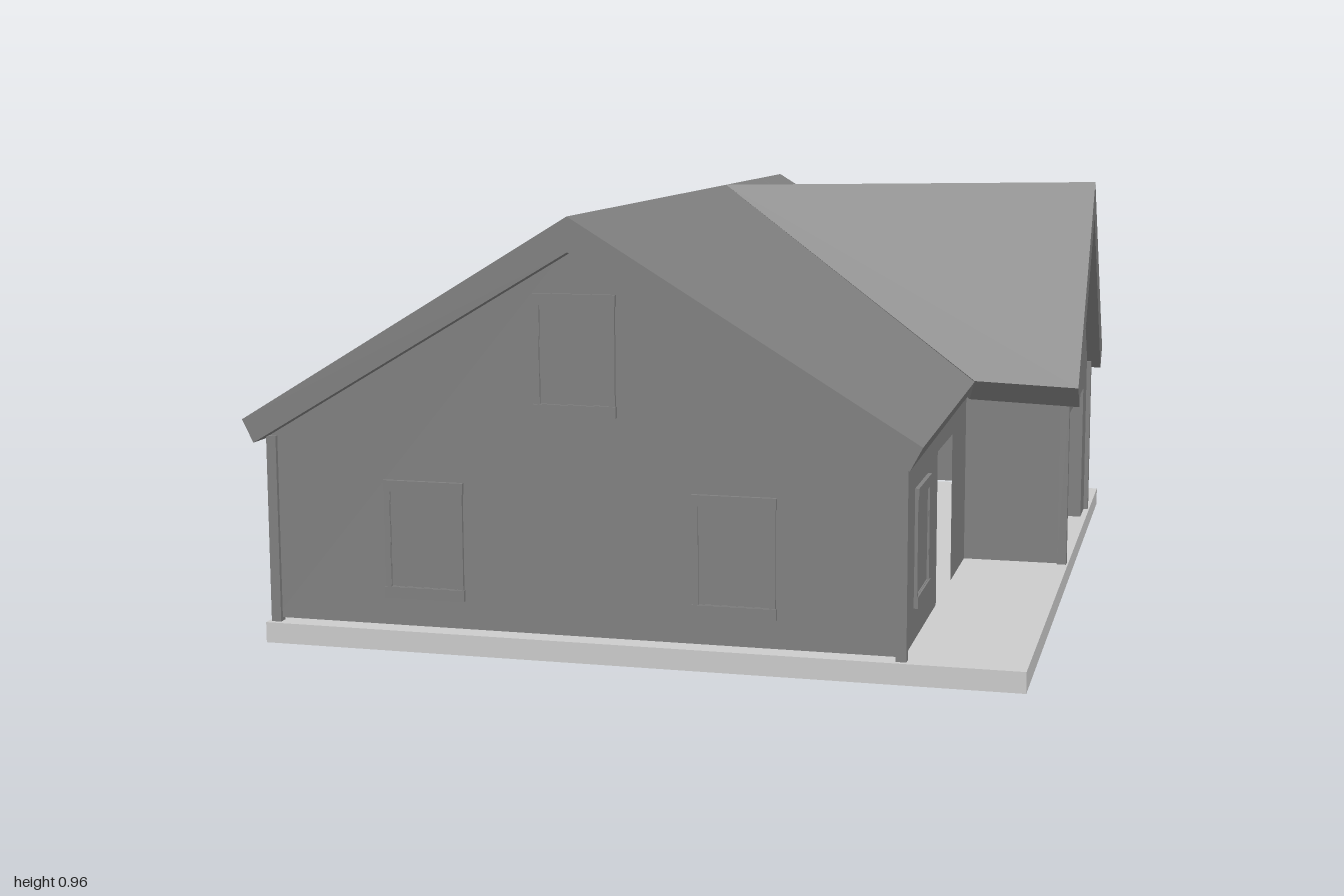
import * as THREE from 'three';

const pale = new THREE.MeshStandardMaterial({ color: 0xcccccc, flatShading: true });
const solid = new THREE.MeshStandardMaterial({ color: 0x808080, flatShading: true });
const thin = new THREE.MeshStandardMaterial({ color: 0x808080, flatShading: true, side: THREE.DoubleSide });

const BASE = 0.045, EAVE = 0.455, RIDGE_X = -0.115, GABLE_Z = -0.34;

function add(parent, name, geometry, material, x = 0, y = 0, z = 0) {
  const mesh = new THREE.Mesh(geometry, material);
  mesh.name = name;
  mesh.position.set(x, y, z);
  parent.add(mesh);
  return mesh;
}

function box(parent, name, w, h, d, x, y, z, material = solid) {
  return add(parent, name, new THREE.BoxGeometry(w, h, d), material, x, y, z);
}

const outline = (pts) => new THREE.Shape(pts.map(([a, b]) => new THREE.Vector2(a, b)));

// Flat wall drawn in x,y and placed at a given z
function wallAcross(parent, name, pts, z) {
  return add(parent, name, new THREE.ShapeGeometry(outline(pts)), thin, 0, 0, z);
}

// Flat wall drawn in z,y and placed at a given x
function wallAlong(parent, name, pts, x) {
  const mesh = add(parent, name, new THREE.ShapeGeometry(outline(pts)), thin, x);
  mesh.rotation.y = -Math.PI / 2;
  return mesh;
}

const rect = (a0, a1, y0 = BASE, y1 = EAVE) => [[a0, y0], [a1, y0], [a1, y1], [a0, y1]];

// Rectangular frame with an opening
function frameGeometry(w, h, border, depth) {
  const shape = outline(rect(-w / 2, w / 2, -h / 2, h / 2));
  shape.holes.push(outline(rect(border - w / 2, w / 2 - border, border - h / 2, h / 2 - border)));
  return new THREE.ExtrudeGeometry(shape, { depth, bevelEnabled: false });
}

// Sash window facing +z, turned to its wall
function addWindow(parent, name, x, y, z, turn) {
  const g = new THREE.Group();
  g.name = name;
  box(g, 'headTrim', 0.18, 0.024, 0.01, 0, 0.116, 0.004);
  box(g, 'sill', 0.18, 0.024, 0.01, 0, -0.116, 0.004);
  for (const s of [-1, 1]) box(g, 'sideTrim', 0.012, 0.208, 0.008, s * 0.082, 0, 0.003);
  add(g, 'sashFrame', frameGeometry(0.164, 0.22, 0.007, 0.005), solid);
  box(g, 'upperPane', 0.152, 0.104, 0.003, 0, 0.052, 0.001);
  box(g, 'lowerPane', 0.152, 0.104, 0.003, 0, -0.052, 0.0005);
  g.position.set(x, y, z);
  g.rotation.y = turn;
  parent.add(g);
}

// Roof lofted through chevron sections: eave, ridge, eave, then back along the underside
function roofGeometry(sections) {
  const verts = [];
  const quad = (a, b, c, d) => verts.push(...a, ...b, ...c, ...a, ...c, ...d);
  for (let k = 0; k < sections.length - 1; k++) {
    const p = sections[k], q = sections[k + 1];
    for (let i = 0; i < 6; i++) {
      const j = (i + 1) % 6;
      quad(p[i], p[j], q[j], q[i]);
    }
  }
  const first = sections[0], last = sections[sections.length - 1];
  quad(first[0], first[5], first[4], first[1]);
  quad(first[1], first[4], first[3], first[2]);
  quad(last[1], last[4], last[5], last[0]);
  quad(last[2], last[3], last[4], last[1]);
  const geo = new THREE.BufferGeometry();
  geo.setAttribute('position', new THREE.Float32BufferAttribute(verts, 3));
  geo.computeVertexNormals();
  return geo;
}

const mainSection = (z, eaveX) => [
  [-0.85, 0.495, z], [RIDGE_X, 0.94, z], [eaveX, 0.494, z],
  [eaveX - 0.026, 0.445, z], [RIDGE_X, 0.867, z], [-0.825, 0.445, z]
];

const crossSection = (ridgeX, ridge, under, x, xIn, eave, eaveUnder, z0, z1) => [
  [x, eave, z0], [ridgeX, ridge, GABLE_Z], [x, eave, z1],
  [xIn, eaveUnder, -0.7], [ridgeX, under, GABLE_Z], [xIn, eaveUnder, 0.02]
];

export function createModel() {
  const house = new THREE.Group();
  house.name = 'house';

  // Ground slab
  box(house, 'slab', 1.65, BASE, 1.955, 0.005, BASE / 2, 0, pale);

  // Gable end walls, just clear of the slab and running up into the roof
  const gableEnd = [[-0.805, 0.053], [0.575, 0.053], [0.575, 0.475], [RIDGE_X, 0.89], [-0.805, 0.475]];
  wallAcross(house, 'frontWall', gableEnd, 0.957);
  wallAcross(house, 'backWall', gableEnd, -0.957);

  // Long walls, with the entrance cut out beside the garage
  wallAlong(house, 'rightHandLongWall', rect(-0.957, 0.957), -0.805);
  wallAlong(house, 'entranceWall', [
    [0.005, BASE], [0.245, BASE], [0.245, 0.395], [0.482, 0.395],
    [0.482, BASE], [0.957, BASE], [0.957, EAVE], [0.005, EAVE]
  ], 0.575);
  wallAlong(house, 'rearEntranceWall', rect(-0.957, -0.685), 0.575);

  // Garage walls and gable with the wide opening
  wallAlong(house, 'garageGableWall', [
    [-0.685, BASE], [-0.567, BASE], [-0.567, 0.395], [-0.108, 0.395],
    [-0.108, BASE], [0.005, BASE], [0.005, 0.475], [GABLE_Z, 0.89], [-0.685, 0.475]
  ], 0.815);
  for (const z of [0.005, -0.685]) {
    wallAcross(house, 'garageSideWall', rect(0.575, 0.815), z);
  }

  // Reveal lining the garage opening
  for (const z of [-0.108, -0.567]) {
    wallAcross(house, 'garageJamb', rect(0.655, 0.815, BASE, 0.395), z);
  }
  const head = add(house, 'garageHead', new THREE.PlaneGeometry(0.16, 0.459), thin, 0.735, 0.395, -0.3375);
  head.rotation.x = Math.PI / 2;

  // Corner posts
  const posts = [
    [-0.801, 0.955], [0.575, 0.955], [-0.801, -0.955], [0.575, -0.955],
    [0.815, 0.005], [0.815, -0.685]
  ];
  for (const [x, z] of posts) {
    box(house, 'cornerPost', 0.022, EAVE - BASE, 0.022, x, (EAVE + BASE) / 2, z);
  }

  // Main roof, its left eave drawn in slightly at the valleys
  add(house, 'mainRoof', roofGeometry([
    mainSection(1, 0.62), mainSection(0.063, 0.602), mainSection(-0.737, 0.602), mainSection(-1, 0.616)
  ]), thin);

  // Garage roof, running back to the main ridge along the valleys
  add(house, 'garageRoof', roofGeometry([
    crossSection(0.85, 0.958, 0.87, 0.85, 0.85, 0.487, 0.435, 0.066, -0.748),
    crossSection(RIDGE_X, 0.94, 0.867, 0.602, 0.585, 0.496, 0.445, 0.063, -0.737)
  ]), thin);

  // Windows
  for (const [z, turn] of [[0.957, 0], [-0.957, Math.PI]]) {
    for (const [x, y] of [[-0.455, 0.242], [0.225, 0.242], [RIDGE_X, 0.65]]) {
      addWindow(house, 'gableWindow', x, y, z, turn);
    }
  }
  addWindow(house, 'entranceWindow', 0.575, 0.245, 0.717, Math.PI / 2);
  for (const z of [-0.39, 0.42]) {
    addWindow(house, 'longWallWindow', -0.805, 0.245, z, -Math.PI / 2);
  }

  return house;
}
